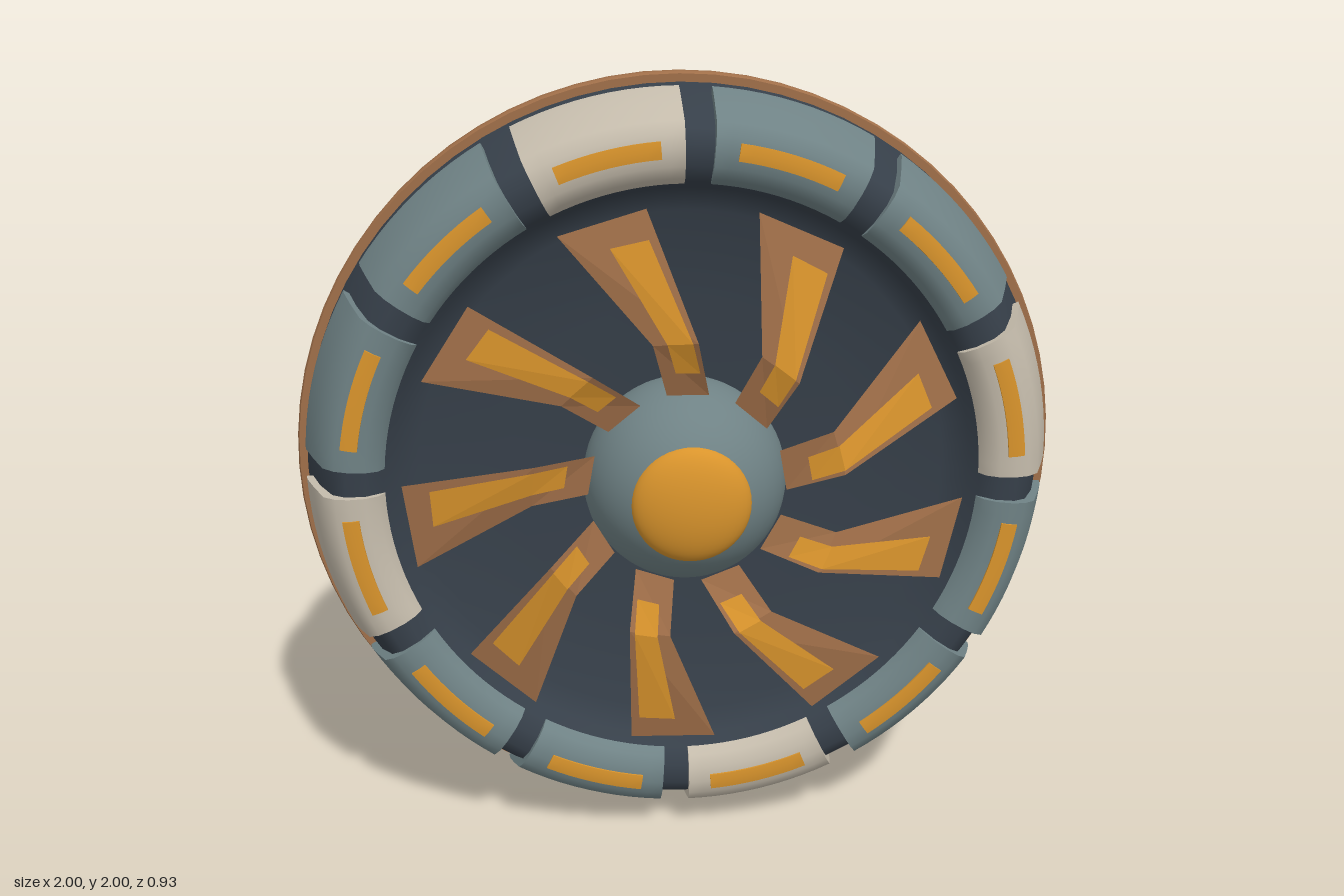
import * as THREE from 'three';
import { toCreasedNormals } from 'three/addons/utils/BufferGeometryUtils.js';

const material = (name, color, side = THREE.FrontSide) => {
  const m = new THREE.MeshStandardMaterial({ color, side });
  m.name = name;
  return m;
};
const rad = THREE.MathUtils.degToRad;

// Profile points are [radius, z], listed from back to front; the axis is z.
function turned(points, segments = 72) {
  const g = new THREE.LatheGeometry(points.map(([r, z]) => new THREE.Vector2(r, z)), segments);
  return g.rotateX(Math.PI / 2);
}

// Closed [radius, z] section swept over an arc centred on an angle.
function arcSegment(section, centre, halfAngle, steps) {
  const shape = new THREE.Shape(section.map(([r, z]) => new THREE.Vector2(r, z)));
  const g = new THREE.ExtrudeGeometry(shape, { depth: 2 * halfAngle, steps, bevelEnabled: false });
  const p = g.attributes.position;
  for (let i = 0; i < p.count; i++) {
    const r = p.getX(i), z = p.getY(i), a = rad(centre + halfAngle - p.getZ(i));
    p.setXYZ(i, r * Math.cos(a), r * Math.sin(a), z);
  }
  return toCreasedNormals(g, 0.75);
}

// Thin sheet through rows of [radius, lagAngle, leadAngle, lagZ, leadZ].
function sheet(rows) {
  const pos = [], index = [];
  rows.forEach(([r, lag, lead, zLag, zLead], i) => {
    pos.push(r * Math.cos(rad(lag)), r * Math.sin(rad(lag)), zLag);
    pos.push(r * Math.cos(rad(lead)), r * Math.sin(rad(lead)), zLead);
    const a = 2 * i;
    if (i < rows.length - 1) index.push(a, a + 2, a + 3, a, a + 3, a + 1);
  });
  const g = new THREE.BufferGeometry();
  g.setAttribute('position', new THREE.Float32BufferAttribute(pos, 3));
  g.setIndex(index);
  const flat = g.toNonIndexed();
  flat.computeVertexNormals();
  return flat;
}

export function createModel() {
  const dark = material('dark housing', 0x363f49);
  const grey = material('slate grey', 0x6f8285);
  const ivory = material('ivory', 0xc4bbab);
  const copper = material('copper', 0xa06f49, THREE.DoubleSide);
  const amber = material('amber', 0xd9942c, THREE.DoubleSide);

  const model = new THREE.Group();
  const wheel = new THREE.Group();
  wheel.name = 'wheel';
  wheel.position.y = 1;
  model.add(wheel);
  const add = (name, geometry, mat, parent = wheel) => {
    const mesh = new THREE.Mesh(geometry, mat);
    mesh.name = name;
    parent.add(mesh);
    return mesh;
  };

  // Housing: closed back, rounded rim and front bowl
  add('housing', turned([
    [0.006, -0.465], [0.85, -0.465], [0.957, -0.285], [0.985, -0.02], [0.975, 0.045],
    [0.955, 0.1], [0.925, 0.18], [0.885, 0.255], [0.85, 0.277], [0.8, 0.275], [0.76, 0.25],
    [0.74, 0.21], [0.68, 0.17], [0.45, 0.13], [0, 0.11],
  ]), dark);

  // Band around the widest part
  add('rimBand', toCreasedNormals(turned([
    [0.97, -0.02], [0.995, -0.02], [1, -0.01], [1, 0.035], [0.995, 0.045], [0.965, 0.045],
  ]), 0.6), copper);

  // Twelve rim panels, every third one ivory, each with an inlaid dash
  const panelSection = [
    [0.95, 0.1], [0.971, 0.1], [0.966, 0.125], [0.94, 0.19], [0.905, 0.268], [0.875, 0.29],
    [0.84, 0.297], [0.8, 0.292], [0.77, 0.275], [0.755, 0.25], [0.77, 0.24],
    [0.81, 0.265], [0.86, 0.265], [0.89, 0.24],
  ];
  const dashSection = [
    [0.862, 0.291], [0.862, 0.2975], [0.84, 0.3015], [0.82, 0.2995], [0.82, 0.292],
  ];
  for (let i = 0; i < 12; i++) {
    const angle = 13 + i * 30;
    add('rimPanel', arcSegment(panelSection, angle, 12.6, 10), i % 3 === 0 ? ivory : grey);
    add('rimDash', arcSegment(dashSection, angle, 8.7, 8), amber);
  }

  // Nine swept, kinked blades with a raised inlay
  const bladeGeometry = sheet([
    [0.25, -29, -5, 0.3, 0.295],
    [0.39, -20, -4, 0.36, 0.335],
    [0.71, -9, 9, 0.292, 0.282],
  ]);
  const inlayGeometry = sheet([
    [0.31, -22, -11, 0.334, 0.327],
    [0.39, -18, -9, 0.366, 0.352],
    [0.64, -8.5, 0, 0.316, 0.309],
  ]);
  for (let i = 0; i < 9; i++) {
    const blade = new THREE.Group();
    blade.name = 'blade';
    blade.rotation.z = rad(107 + i * 40);
    add('bladeSheet', bladeGeometry, copper, blade);
    add('bladeInlay', inlayGeometry, amber, blade);
    wheel.add(blade);
  }

  // Hub ball and flattened cap
  add('hub', new THREE.SphereGeometry(0.26, 40, 28), grey).position.z = 0.2;
  const cap = add('hubCap', new THREE.SphereGeometry(0.148, 40, 24), amber);
  cap.scale.z = 0.38;
  cap.position.z = 0.409;

  return model;
}
